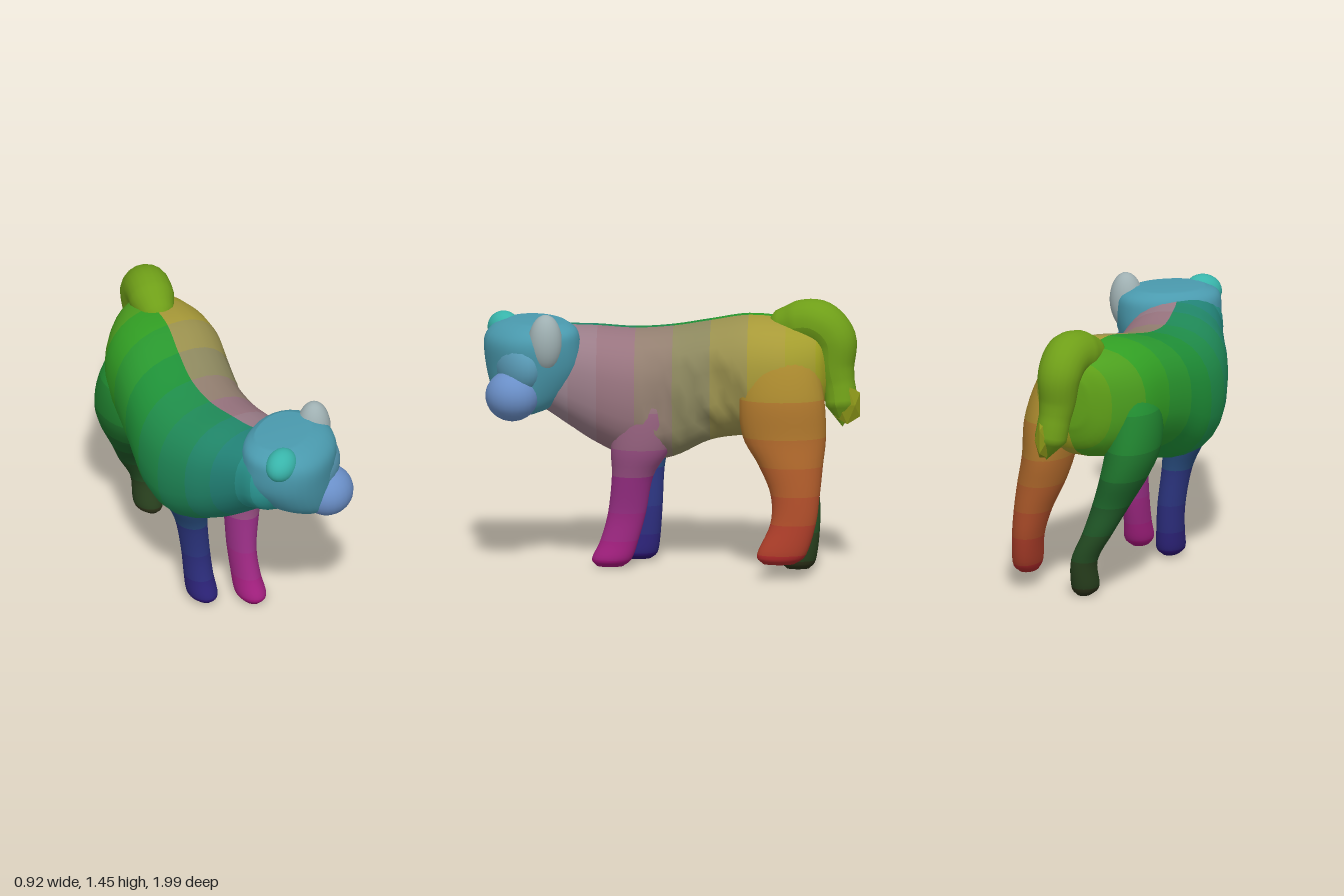
import * as THREE from 'three';

const SIDES = 28, STEPS = 5;

// Closed skin over horizontal rings [y, centreX, centreZ, radiusX, radiusZ], smoothed between rings;
// a power below 1 makes the rings fuller at the corners
function loft(rings, power = 1) {
  const centre = new THREE.CatmullRomCurve3(rings.map(r => new THREE.Vector3(r[1], r[0], r[2])), false, 'catmullrom');
  const radius = new THREE.CatmullRomCurve3(rings.map(r => new THREE.Vector3(r[3], 0, r[4])), false, 'catmullrom');
  const full = v => Math.sign(v) * Math.abs(v) ** power;
  const n = (rings.length - 1) * STEPS;
  const pos = [], idx = [];
  for (let i = 0; i <= n; i++) {
    const c = centre.getPoint(i / n), r = radius.getPoint(i / n);
    for (let j = 0; j < SIDES; j++) {
      const a = (j / SIDES) * Math.PI * 2;
      pos.push(c.x + r.x * full(Math.cos(a)), c.y, c.z + r.z * full(Math.sin(a)));
    }
  }
  for (let i = 0; i < n; i++) for (let j = 0; j < SIDES; j++) {
    const a = i * SIDES + j, b = i * SIDES + (j + 1) % SIDES;
    idx.push(a, a + SIDES, b, b, a + SIDES, b + SIDES);
  }
  // end caps
  const bottom = pos.length / 3, top = bottom + 1, last = n * SIDES;
  const c0 = centre.getPoint(0), c1 = centre.getPoint(1);
  pos.push(c0.x, c0.y, c0.z, c1.x, c1.y, c1.z);
  for (let j = 0; j < SIDES; j++) {
    const k = (j + 1) % SIDES;
    idx.push(bottom, j, k, top, last + k, last + j);
  }
  const g = new THREE.BufferGeometry();
  g.setAttribute('position', new THREE.Float32BufferAttribute(pos, 3));
  g.setIndex(idx);
  g.computeVertexNormals();
  return g;
}

function part(parent, name, geometry, color) {
  const mesh = new THREE.Mesh(geometry, new THREE.MeshStandardMaterial({ color }));
  mesh.name = name;
  parent.add(mesh);
  return mesh;
}

// Cuts a loft into one band per ring, its colour running through the list; normals stay continuous
function graded(parent, name, geometry, bands, colors, keepSide = () => true) {
  const index = geometry.index.array, wall = bands * STEPS * SIDES * 2;
  const group = new THREE.Group();
  group.name = name;
  parent.add(group);
  for (let b = 0; b < bands; b++) {
    const kept = [];
    for (let t = 0; t < index.length / 3; t++) {
      const onWall = t < wall;
      const band = onWall ? Math.floor(t / (2 * SIDES * STEPS)) : (t % 2) * (bands - 1);
      const side = Math.floor(t / 2) % SIDES;
      if (band === b && keepSide(side)) kept.push(index[t * 3], index[t * 3 + 1], index[t * 3 + 2]);
    }
    const g = geometry.clone();
    g.setIndex(kept);
    const s = (b / (bands - 1)) * (colors.length - 1), k = Math.min(Math.floor(s), colors.length - 2);
    part(group, name + 'Band', g, new THREE.Color(colors[k]).lerp(new THREE.Color(colors[k + 1]), s - k));
  }
}

function blob(parent, name, color, position, scale, roll = 0) {
  const mesh = part(parent, name, new THREE.SphereGeometry(1, 24, 16), color);
  mesh.position.set(...position);
  mesh.scale.set(...scale);
  mesh.rotation.z = roll;
}

function buildTorso(group) {
  // z, left x, right x, bottom y, top y, from rump to neck
  const sections = [
    [-0.82, 0, 0.2, 0.96, 1.22], [-0.76, -0.13, 0.28, 0.82, 1.3], [-0.6, -0.27, 0.34, 0.74, 1.34],
    [-0.4, -0.34, 0.33, 0.72, 1.35], [-0.2, -0.4, 0.27, 0.68, 1.31], [0, -0.45, 0.22, 0.58, 1.27],
    [0.2, -0.46, 0.2, 0.56, 1.255], [0.4, -0.42, 0.19, 0.65, 1.27], [0.55, -0.36, 0.18, 0.75, 1.28],
    [0.7, -0.3, 0.22, 0.86, 1.31], [0.8, -0.27, 0.2, 0.9, 1.31], [0.88, -0.2, 0.12, 0.98, 1.26],
  ];
  const torso = loft(sections.map(([z, x0, x1, y0, y1]) =>
    [z, (x0 + x1) / 2, -(y0 + y1) / 2, (x1 - x0) / 2, (y1 - y0) / 2]), 0.85);
  torso.rotateX(Math.PI / 2);

  // ragged fur patch on the left flank
  let seed = 7;
  const rand = () => (seed = (seed * 16807) % 2147483647) / 2147483647;
  const p = torso.attributes.position;
  for (let i = 0; i < p.count; i++) {
    const x = p.getX(i), y = p.getY(i), z = p.getZ(i);
    if (x > 0.05 && y > 0.75 && y < 1.1 && z > -0.38 && z < 0.12) p.setX(i, x - rand() * 0.045);
  }
  torso.computeVertexNormals();

  const bands = sections.length - 1, q = SIDES / 4;
  const onLeft = j => j < q || j >= 3 * q;
  graded(group, 'torsoLeft', torso, bands, [0xa0a020, 0xa89a38, 0x8f8a60, 0x98747f, 0x9c8490, 0x88a0b0], onLeft);
  graded(group, 'torsoRight', torso, bands, [0x5fa018, 0x32a024, 0x1f9238, 0x1f8a58, 0x228478, 0x2c9c98], j => !onLeft(j));
}

function buildLegs(group) {
  const leg = (name, rings, colors) => graded(group, name, loft(rings), rings.length - 1, colors);
  leg('frontLeftLeg', [
    [0.01, 0.04, 0.33, 0.045, 0.07], [0.05, 0.045, 0.32, 0.075, 0.105], [0.15, 0.042, 0.28, 0.07, 0.1],
    [0.3, 0.042, 0.24, 0.07, 0.1], [0.5, 0.06, 0.21, 0.09, 0.11], [0.65, 0.07, 0.17, 0.115, 0.155],
    [0.85, 0.065, 0.15, 0.125, 0.15], [1.0, 0.05, 0.15, 0.1, 0.1]], [0xa8147c, 0x9a2f86, 0x98747f]);
  leg('frontRightLeg', [
    [0.015, -0.17, 0.19, 0.045, 0.07], [0.05, -0.17, 0.185, 0.075, 0.1], [0.15, -0.175, 0.16, 0.074, 0.09],
    [0.3, -0.185, 0.145, 0.073, 0.085], [0.5, -0.215, 0.15, 0.08, 0.1], [0.65, -0.25, 0.16, 0.11, 0.14],
    [0.85, -0.29, 0.17, 0.14, 0.17], [1.0, -0.29, 0.17, 0.12, 0.13]], [0x2c1474, 0x2c3580, 0x1f6a78]);
  leg('hindLeftLeg', [
    [0.09, 0.385, -0.57, 0.05, 0.085], [0.14, 0.385, -0.585, 0.075, 0.13], [0.3, 0.365, -0.645, 0.083, 0.12],
    [0.45, 0.335, -0.655, 0.1, 0.13], [0.6, 0.295, -0.63, 0.125, 0.17], [0.75, 0.265, -0.595, 0.135, 0.22],
    [0.95, 0.25, -0.58, 0.14, 0.225], [1.15, 0.21, -0.57, 0.115, 0.19], [1.28, 0.15, -0.55, 0.08, 0.13]],
  [0xb02a2a, 0xb0522a, 0xb0702c, 0xa89a30]);
  leg('hindRightLeg', [
    [0.005, 0.05, -0.66, 0.04, 0.06], [0.05, 0.045, -0.665, 0.073, 0.09], [0.2, 0.04, -0.7, 0.07, 0.075],
    [0.35, -0.03, -0.69, 0.08, 0.085], [0.5, -0.09, -0.63, 0.1, 0.12], [0.65, -0.145, -0.575, 0.125, 0.19],
    [0.8, -0.18, -0.53, 0.14, 0.22], [1.0, -0.18, -0.51, 0.13, 0.19], [1.2, -0.12, -0.52, 0.08, 0.13]],
  [0x2c3018, 0x1c5a28, 0x229032]);
}

function buildHead(group) {
  // head turned towards the model's left
  const head = new THREE.Group();
  head.name = 'head';
  head.position.set(0, 1.08, 0.72);
  head.rotation.y = 0.53;
  group.add(head);
  part(head, 'skull', loft([
    [-0.245, 0.06, 0.11, 0.05, 0.06], [-0.21, 0.05, 0.09, 0.12, 0.13], [-0.13, 0.02, 0.05, 0.2, 0.19],
    [0, 0, 0.02, 0.265, 0.235], [0.13, 0, 0.025, 0.28, 0.235], [0.2, 0, 0.01, 0.26, 0.2],
    [0.24, 0, -0.01, 0.18, 0.13]], 0.9), 0x4a9aae);
  blob(head, 'muzzle', 0x6a8fc8, [0.1, -0.135, 0.2], [0.145, 0.135, 0.14]);
  blob(head, 'brow', 0x5a9cb8, [0.08, 0.02, 0.15], [0.17, 0.16, 0.11]);
  blob(head, 'leftEar', 0x9fb0b2, [0.215, 0.15, 0.065], [0.09, 0.155, 0.09], -0.05);
  blob(head, 'rightEar', 0x38b4aa, [-0.205, 0.175, 0.085], [0.1, 0.085, 0.08], 0.2);
}

function buildTail(group) {
  // tail arches over the rump and lies against its back
  const curve = new THREE.CatmullRomCurve3([
    [0.02, 1.26, -0.46], [0.06, 1.31, -0.62], [0.11, 1.33, -0.77], [0.13, 1.25, -0.855],
    [0.14, 1.1, -0.865], [0.16, 0.95, -0.89], [0.19, 0.79, -0.9]].map(p => new THREE.Vector3(...p)));
  const n = 48, sides = 20;
  const radii = [0, 0.09, 0.12, 0.122, 0.115, 0.1, 0.085, 0.085, 0];
  const g = new THREE.TubeGeometry(curve, n, 1, sides);
  const p = g.attributes.position, v = new THREE.Vector3();
  for (let i = 0; i <= n; i++) {
    const c = curve.getPointAt(i / n), s = (i / n) * (radii.length - 1), k = Math.min(Math.floor(s), radii.length - 2);
    const r = THREE.MathUtils.lerp(radii[k], radii[k + 1], s - k);
    for (let j = 0; j <= sides; j++) {
      const q = i * (sides + 1) + j;
      v.fromBufferAttribute(p, q).sub(c).multiplyScalar(r).add(c);
      p.setXYZ(q, v.x, v.y, v.z);
    }
  }
  g.computeVertexNormals();
  part(group, 'tail', g, 0x6f9f18);

  // ragged tuft at the tail tip
  const tuft = part(group, 'tailTuft', new THREE.IcosahedronGeometry(1, 0), 0x8a9418);
  tuft.material.flatShading = true;
  tuft.position.set(0.2, 0.91, -0.925);
  tuft.scale.set(0.04, 0.12, 0.08);
}

export function createModel() {
  const group = new THREE.Group();
  group.name = 'standingCub';
  buildTorso(group);
  buildLegs(group);
  buildHead(group);
  buildTail(group);
  return group;
}
